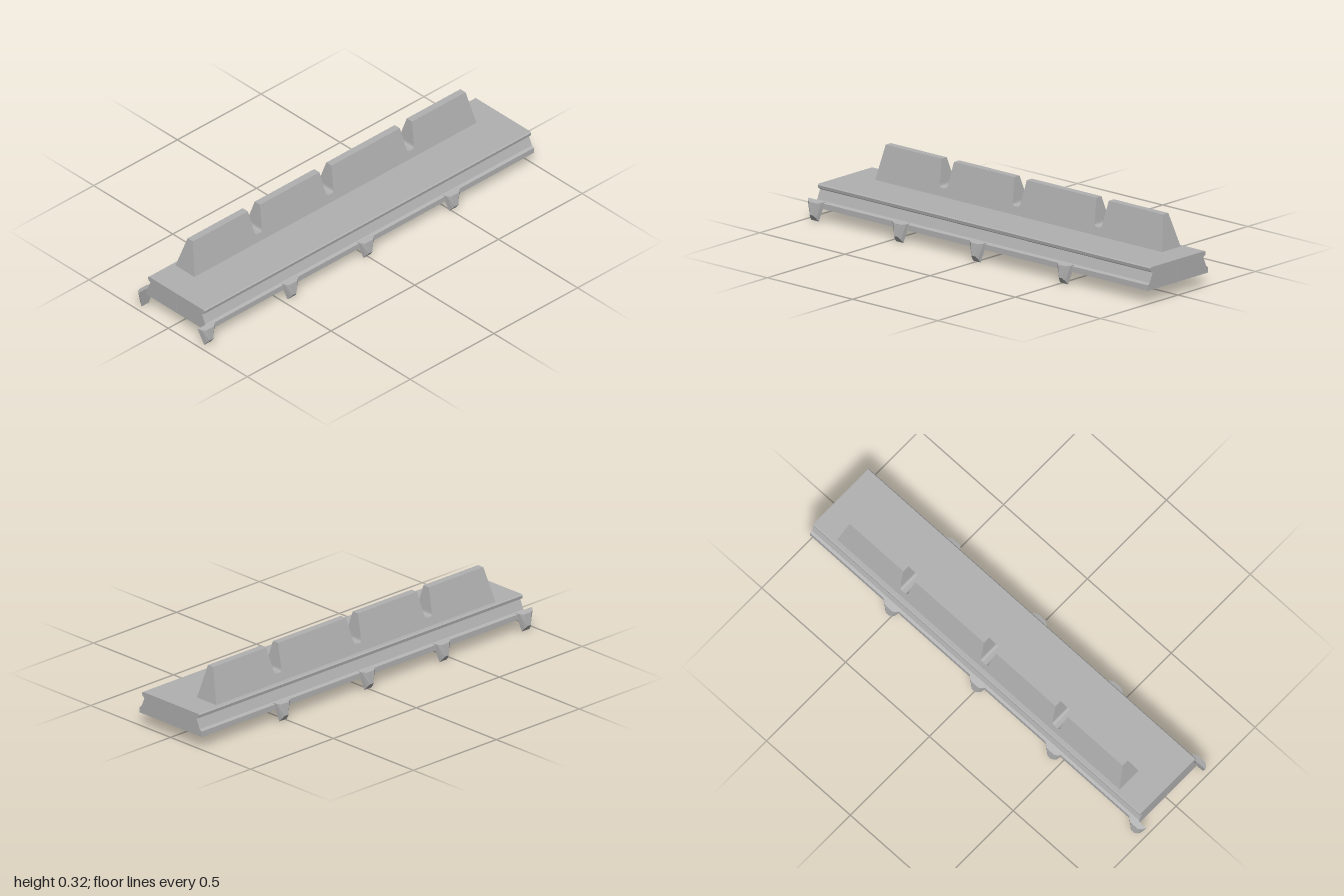
import * as THREE from 'three';

const grey = new THREE.MeshStandardMaterial({ color: 0xb0b0b0, flatShading: true });
grey.name = 'concrete grey';

function add(parent, name, geometry) {
  const mesh = new THREE.Mesh(geometry, grey);
  mesh.name = name;
  parent.add(mesh);
  return mesh;
}

// Half of the base's cross-section as [z, y], mirrored to close it
const halfProfile = [
  [0.195, 0.06], [0.194, 0.085], [0.182, 0.093], [0.163, 0.136],
  [0.176, 0.143], [0.178, 0.157], [0.173, 0.162],
];

function baseSlice(x0, x1, slit) {
  const right = halfProfile.map(([z, y]) => new THREE.Vector2(z, y));
  const left = halfProfile.map(([z, y]) => new THREE.Vector2(-z, y)).reverse();
  const shape = new THREE.Shape([...right, ...left]);
  if (slit) {
    shape.holes.push(new THREE.Path([[-0.002, 0.063], [-0.002, 0.159], [0.002, 0.159], [0.002, 0.063]]
      .map(([z, y]) => new THREE.Vector2(z, y))));
  }
  const g = new THREE.ExtrudeGeometry(shape, { depth: x1 - x0, bevelEnabled: false });
  return g.rotateY(Math.PI / 2).translate(x0, 0, 0);
}

// Wall with rounded notches, drawn from the front and tapered toward its top
function wallGeometry() {
  const y0 = 0.16, y1 = 0.318;
  const s = new THREE.Shape();
  s.moveTo(-0.81, y0);
  s.lineTo(-0.783, y1);
  for (const x of [-0.418, 0.009, 0.49]) {
    s.lineTo(x - 0.036, y1);
    s.lineTo(x - 0.023, 0.213);
    s.quadraticCurveTo(x - 0.021, 0.198, x - 0.009, 0.198);
    s.lineTo(x + 0.009, 0.198);
    s.quadraticCurveTo(x + 0.021, 0.198, x + 0.023, 0.213);
    s.lineTo(x + 0.036, y1);
  }
  s.lineTo(0.846, y1);
  s.lineTo(0.875, y0);
  s.closePath();
  const g = new THREE.ExtrudeGeometry(s, { depth: 1, bevelEnabled: false, curveSegments: 4 });
  const p = g.attributes.position;
  for (let i = 0; i < p.count; i++) {
    const t = (p.getY(i) - y0) / (y1 - y0);
    const back = THREE.MathUtils.lerp(-0.156, -0.107, t);
    const front = THREE.MathUtils.lerp(-0.035, -0.074, t);
    p.setZ(i, p.getZ(i) > 0.5 ? front : back);
  }
  g.computeVertexNormals();
  return g;
}

// Faceted side peg: a wide upper and a narrow, slanted lower half-round section
function pegGeometry() {
  const arc = [[-1, 0], [-0.8, 0.55], [-0.45, 1], [0.45, 1], [0.8, 0.55], [1, 0]];
  const ring = (w, zIn, zOut, yIn, yOut) => arc.map(([u, d]) =>
    [u * w, yIn + (yOut - yIn) * d, zIn + (zOut - zIn) * d]);
  const top = ring(0.05, 0.186, 0.213, 0.092, 0.085);
  const bottom = ring(0.022, 0.198, 0.222, 0.0, 0.03);
  const v = [], n = arc.length;
  const tri = (a, b, c) => v.push(...a, ...b, ...c);
  for (let i = 0; i < n; i++) {
    const j = (i + 1) % n;
    tri(top[i], bottom[i], bottom[j]);
    tri(top[i], bottom[j], top[j]);
    if (i > 0 && j > 0) {
      tri(top[0], top[i], top[j]);
      tri(bottom[0], bottom[j], bottom[i]);
    }
  }
  const g = new THREE.BufferGeometry();
  g.setAttribute('position', new THREE.Float32BufferAttribute(v, 3));
  g.computeVertexNormals();
  return g;
}

export function createModel() {
  const model = new THREE.Group();
  model.name = 'barrierSection';

  // Long base with a slim seam on each end
  const base = new THREE.Group();
  base.name = 'base';
  add(base, 'baseBody', baseSlice(-0.947, 0.995, false));
  add(base, 'rightEndPlate', baseSlice(-0.952, -0.947, true));
  add(base, 'leftEndPlate', baseSlice(0.995, 1, true));
  model.add(base);

  add(model, 'notchedWall', wallGeometry());

  // Pegs along both long sides
  const peg = pegGeometry();
  for (const x of [-0.95, -0.453, 0, 0.513]) {
    add(model, 'frontPeg', peg).position.x = x;
    const rear = add(model, 'rearPeg', peg);
    rear.position.x = x;
    rear.rotation.y = Math.PI;
  }
  return model;
}
